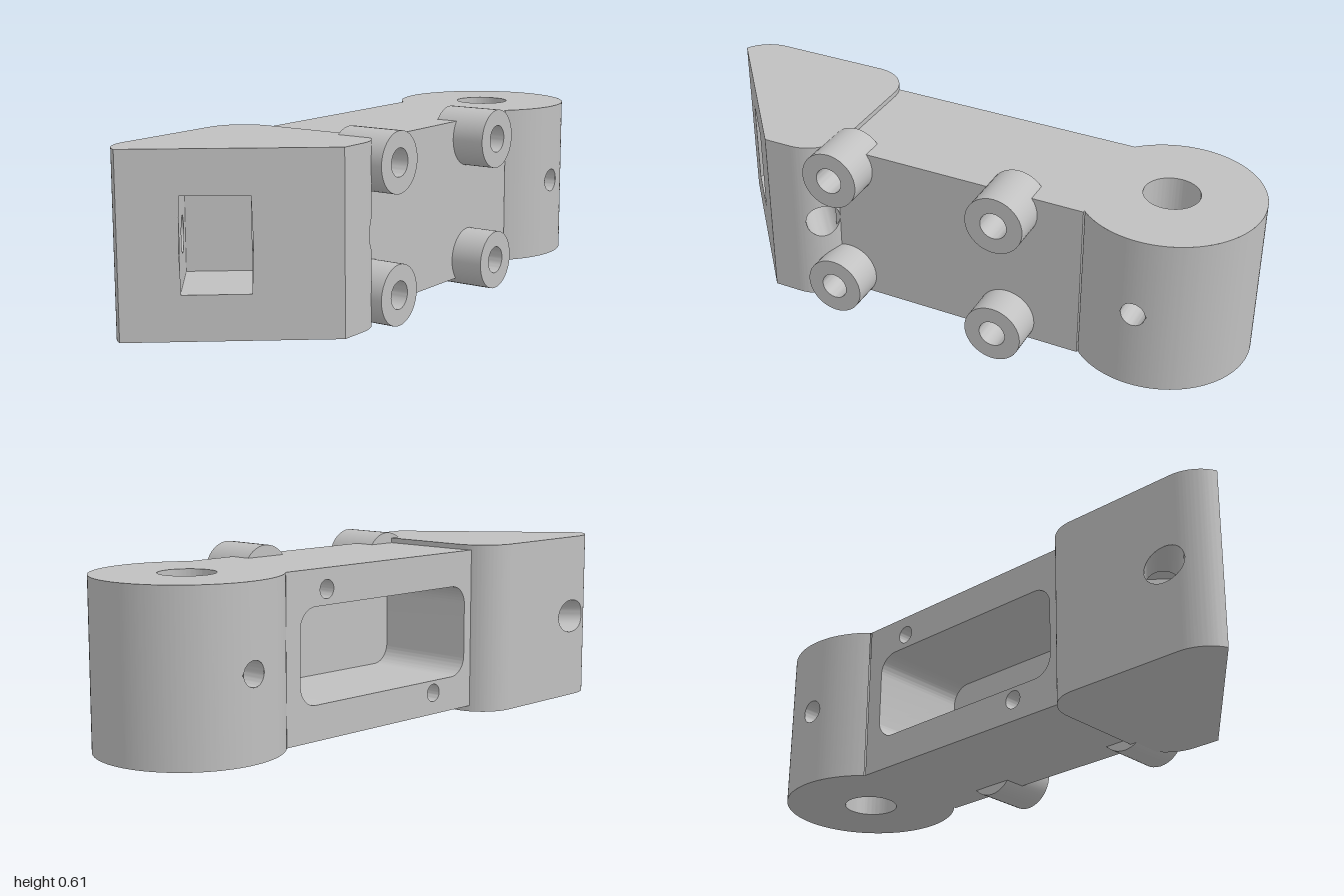
import * as THREE from 'three';
import { toCreasedNormals } from 'three/addons/utils/BufferGeometryUtils.js';

const MID = 0.31;                                  // height of every cross bore
const V = (x, y) => new THREE.Vector2(x, y);
const material = new THREE.MeshStandardMaterial({ color: 0xc0c0c0, side: THREE.DoubleSide });
material.name = 'light grey';

function add(group, name, geometry) {
  const mesh = new THREE.Mesh(geometry, material);
  mesh.name = name;
  group.add(mesh);
}

function fromTriangles(positions) {
  const g = new THREE.BufferGeometry();
  g.setAttribute('position', new THREE.Float32BufferAttribute(positions, 3));
  return toCreasedNormals(g, 0.5);
}

// Splits each segment of a plan path (x, z) into short columns
function dense(points, step = 0.005) {
  const out = [points[0]];
  for (let i = 1; i < points.length; i++) {
    const n = Math.max(1, Math.ceil(points[i].distanceTo(points[i - 1]) / step));
    for (let k = 1; k <= n; k++) out.push(points[i - 1].clone().lerp(points[i], k / n));
  }
  return out;
}

// Upright wall along a plan path; gap(p) is the half height of an opening around MID
function wall(points, y0, y1, gap) {
  const pos = [];
  const path = dense(points);
  const quad = (a, b, a0, a1, b0, b1) => pos.push(
    a.x, a0, a.y, b.x, b0, b.y, b.x, b1, b.y,
    a.x, a0, a.y, b.x, b1, b.y, a.x, a1, a.y);
  for (let i = 1; i < path.length; i++) {
    const a = path[i - 1], b = path[i];
    if (a.distanceTo(b) < 1e-6) continue;
    const ha = gap(a), hb = gap(b);
    if (ha + hb === 0) quad(a, b, y0, y1, y0, y1);
    else {
      quad(a, b, y0, MID - ha, y0, MID - hb);
      quad(a, b, MID + ha, y1, MID + hb, y1);
    }
  }
  return fromTriangles(pos);
}

// Horizontal face from a plan shape (x, z)
function cap(shape, y, up) {
  const g = new THREE.ShapeGeometry(shape, 32);
  g.rotateX(Math.PI / 2);
  if (up) {
    const idx = g.index.array;
    for (let i = 0; i < idx.length; i += 3) [idx[i], idx[i + 1]] = [idx[i + 1], idx[i]];
    g.computeVertexNormals();
  }
  return g.translate(0, y, 0);
}

// Round bore lining; start and end give its length at each plan offset
function bore(origin, dir, radius, start, end) {
  const side = V(-dir.y, dir.x), pos = [], N = 40;
  const ring = (k) => {
    const a = (k / N) * Math.PI * 2, o = radius * Math.cos(a);
    const p = origin.clone().addScaledVector(side, o);
    return [start(o, p), end(o, p)].map((t) =>
      [p.x + dir.x * t, MID + radius * Math.sin(a), p.y + dir.y * t]);
  };
  for (let k = 0; k < N; k++) {
    const [a, b] = ring(k), [c, d] = ring(k + 1);
    pos.push(...a, ...c, ...b, ...b, ...c, ...d);
  }
  return fromTriangles(pos);
}

// Distance from p along dir to a plan outline
function hit(outline, p, dir) {
  let best = Infinity;
  for (let i = 1; i < outline.length; i++) {
    const a = outline[i - 1], e = outline[i].clone().sub(a), w = a.clone().sub(p);
    const den = dir.cross(e);
    if (Math.abs(den) < 1e-9) continue;
    const t = w.cross(e) / den, s = w.cross(dir) / den;
    if (t > 0 && s >= 0 && s <= 1) best = Math.min(best, t);
  }
  return best;
}

const chord = (r, d) => Math.sqrt(Math.max(0, r * r - d * d));

// Wedge head with an angled slot and a bore parallel to the sloping face
function makeHead() {
  const head = new THREE.Group();
  head.name = 'wedgeHead';
  const y0 = 0.02, y1 = 0.597, P = Math.PI;
  const shape = new THREE.Shape();
  shape.absarc(-0.18, 0.88, 0.13, P, 2.007, true);
  shape.lineTo(0.287, 0.585);
  shape.absarc(0.157, 0.49, 0.13, 0, -P / 2, true);
  shape.absarc(-0.18, 0.49, 0.13, -P / 2, -P, true);
  shape.closePath();
  const outline = shape.getPoints(24);

  const u = V(0.522, -0.413).normalize(), n = V(-u.y, u.x);
  const tip = V(-0.235, 0.998), r = 0.058, depth = 0.3;
  const slotA = tip.clone().addScaledVector(u, 0.142 / u.x);
  const slotB = tip.clone().addScaledVector(u, 0.308 / u.x);
  const axis = slotB.clone().addScaledVector(n, -0.166);
  const across = (p) => p.clone().sub(axis).dot(n);
  const along = (p) => p.clone().sub(tip).dot(u);
  const drilled = (p) => chord(r, across(p));
  const slotted = (p) => (Math.abs(p.clone().sub(tip).dot(n)) < 0.002
    && along(p) > 0.142 / u.x && along(p) < 0.308 / u.x ? 0.148 : drilled(p));

  add(head, 'headWall', wall(outline, y0, y1, slotted));
  add(head, 'headTop', cap(shape, y1, true));
  add(head, 'headBottom', cap(shape, y0, false));

  const slot = [slotA, slotA.clone().addScaledVector(n, -depth),
    slotB.clone().addScaledVector(n, -depth), slotB];
  add(head, 'slotWall', wall(slot, MID - 0.148, MID + 0.148, drilled));
  add(head, 'slotFloor', cap(new THREE.Shape(slot), MID - 0.148, true));
  add(head, 'slotCeiling', cap(new THREE.Shape(slot), MID + 0.148, false));

  const back = u.clone().negate(), width = slotA.distanceTo(slotB);
  add(head, 'headBoreRight', bore(axis, u, r, () => 0, (o, p) => hit(outline, p, u)));
  add(head, 'headBoreLeft', bore(axis, back, r, () => width, (o, p) => hit(outline, p, back)));
  return head;
}

// Pivot eye with a vertical hole and a cross bore
function makeEye() {
  const eye = new THREE.Group();
  eye.name = 'pivotEye';
  const y0 = 0.04, y1 = 0.58, c = V(-0.02, -0.705), R = 0.295, r = 0.09, cross = 0.04;
  const arc = (rad, a0, a1) => new THREE.EllipseCurve(c.x, c.y, rad, rad, a0, a1).getPoints(96);
  const drilled = (p) => chord(cross, p.y - c.y);
  const join = 0.754;
  add(eye, 'eyeWall', wall(arc(R, Math.PI - join, Math.PI * 2 + join), y0, y1, drilled));
  add(eye, 'eyeHole', wall(arc(r, Math.PI * 2, 0), y0, y1, drilled));
  const shape = new THREE.Shape(arc(R, 0, Math.PI * 2));
  shape.holes.push(new THREE.Path(arc(r, 0, Math.PI * 2)));
  add(eye, 'eyeTop', cap(shape, y1, true));
  add(eye, 'eyeBottom', cap(shape, y0, false));
  for (const s of [-1, 1]) {
    add(eye, 'eyeCrossBore', bore(c, V(s, 0), cross, (o) => chord(r, o), (o) => chord(R, o)));
  }
  return eye;
}

// Closed path or shape tracing a rectangle (z, y) with rounded corners; drawn on (-z, y)
function roundedRect(target, z0, z1, y0, y1, r) {
  const [a, b] = [-z1, -z0], q = Math.PI / 2;
  if (r === 0) return target.setFromPoints([V(a, y0), V(b, y0), V(b, y1), V(a, y1)]);
  target.absarc(b - r, y0 + r, r, -q, 0, false);
  target.absarc(b - r, y1 - r, r, 0, q, false);
  target.absarc(a + r, y1 - r, r, q, 2 * q, false);
  target.absarc(a + r, y0 + r, r, 2 * q, 3 * q, false);
  target.closePath();
  return target;
}

const circle = (target, z, y, r) => target.absarc(-z, y, r, 0, Math.PI * 2, false);

// Extrudes a side shape from x0 to x1
function sideways(shape, x0, x1) {
  const g = new THREE.ExtrudeGeometry(shape, { depth: x1 - x0, bevelEnabled: false, curveSegments: 20 });
  return toCreasedNormals(g.rotateY(Math.PI / 2).translate(x0, 0, 0), 0.5);
}

export function createModel() {
  const model = new THREE.Group();
  model.name = 'pivotArm';
  model.add(makeHead(), makeEye());

  // Arm: hollow layer with pocket and screw holes, then a backing layer
  const split = 0.125;
  const bossSpots = [-0.25, 0.335].flatMap((z) => [0.105, 0.52].map((y) => [z, y]));
  const hollow = roundedRect(new THREE.Shape(), -0.5, 0.385, 0.04, 0.58, 0);
  hollow.holes.push(roundedRect(new THREE.Path(), -0.44, 0.337, 0.155, 0.463, 0.065));
  for (const [z, y] of [[-0.325, 0.513], [0.18, 0.113]]) {
    hollow.holes.push(circle(new THREE.Path(), z, y, 0.03));
  }
  add(model, 'armHollow', sideways(hollow, -0.232, split));

  const backing = roundedRect(new THREE.Shape(), -0.5, 0.385, 0.04, 0.58, 0);
  for (const [z, y] of bossSpots) backing.holes.push(circle(new THREE.Path(), z, y, 0.045));
  add(model, 'armBacking', sideways(backing, split, 0.2));

  // Four mounting bosses
  for (const [z, y] of bossSpots) {
    const ring = circle(new THREE.Shape(), z, y, 0.098);
    ring.holes.push(circle(new THREE.Path(), z, y, 0.045));
    add(model, 'mountingBoss', sideways(ring, split, 0.312));
  }
  return model;
}
